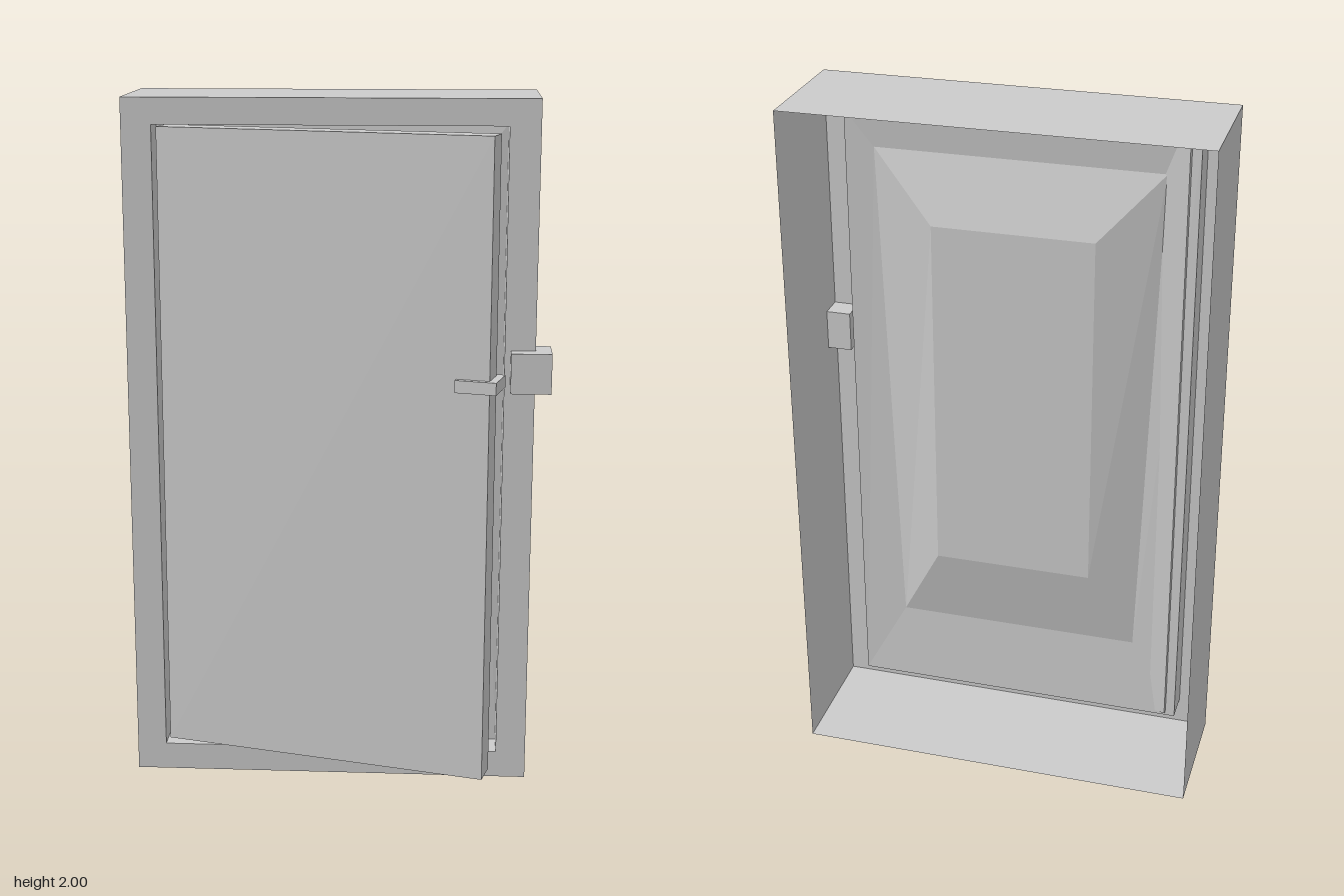
import * as THREE from 'three';

const grey = new THREE.MeshStandardMaterial({ color: 0xcccccc, flatShading: true });
const sheet = new THREE.MeshStandardMaterial({ color: 0xcccccc, flatShading: true, side: THREE.DoubleSide });

// Four corners, anticlockwise seen from the front; the top may be wider than the bottom
function ring(x0, x1, y0, y1, z, flare = 0) {
  return [[x0, y0, z], [x1, y0, z], [x1 + flare, y1, z], [x0 - flare, y1, z]];
}

// Sheet joining successive rings, optionally closed at the last one
function bridge(name, rings, cap) {
  const pos = [];
  const quad = (a, b, c, d) => [a, b, c, a, c, d].forEach((p) => pos.push(...p));
  for (let r = 0; r < rings.length - 1; r++) {
    const a = rings[r], b = rings[r + 1];
    for (let i = 0; i < 4; i++) {
      const j = (i + 1) % 4;
      quad(a[i], a[j], b[j], b[i]);
    }
  }
  if (cap) quad(...rings[rings.length - 1]);
  const geo = new THREE.BufferGeometry();
  geo.setAttribute('position', new THREE.Float32BufferAttribute(pos, 3));
  geo.computeVertexNormals();
  const mesh = new THREE.Mesh(geo, sheet);
  mesh.name = name;
  return mesh;
}

// Box given by its limits on each axis
function block(name, x0, x1, y0, y1, z0, z1) {
  const mesh = new THREE.Mesh(new THREE.BoxGeometry(x1 - x0, y1 - y0, z1 - z0), grey);
  mesh.position.set((x0 + x1) / 2, (y0 + y1) / 2, (z0 + z1) / 2);
  mesh.name = name;
  return mesh;
}

export function createModel() {
  const model = new THREE.Group();
  model.name = 'wallCabinet';

  // Open-backed case with a front frame around the doorway
  const doorway = ring(-0.52, 0.47, 0.08, 1.925, 0.06);
  model.add(bridge('case', [
    ring(-0.605, 0.557, 0, 2, -0.31),
    ring(-0.605, 0.557, 0, 2, 0.06),
    doorway,
  ], false));

  // Recess behind the door, with a sunken bevelled panel
  model.add(bridge('recess', [
    doorway,
    ring(-0.52, 0.47, 0.08, 1.925, -0.03),
    ring(-0.38, 0.34, 0.32, 1.82, -0.02, 0.05),
    ring(-0.25, 0.214, 0.562, 1.625, -0.073),
  ], true));

  // Door swung ajar about its front left edge, with a catch on its free edge
  const door = new THREE.Group();
  door.name = 'door';
  door.add(block('doorLeaf', 0, 0.966, 0.09, 1.918, -0.079, 0));
  door.add(block('doorCatch', 0.872, 0.988, 1.225, 1.26, -0.095, 0.016));
  door.position.set(-0.51, 0, 0.039);
  door.rotation.y = -0.255;
  model.add(door);

  // Lock block straddling the front corner of the case
  model.add(block('lockBlock', 0.487, 0.602, 1.185, 1.3, -0.01, 0.106));

  return model;
}
